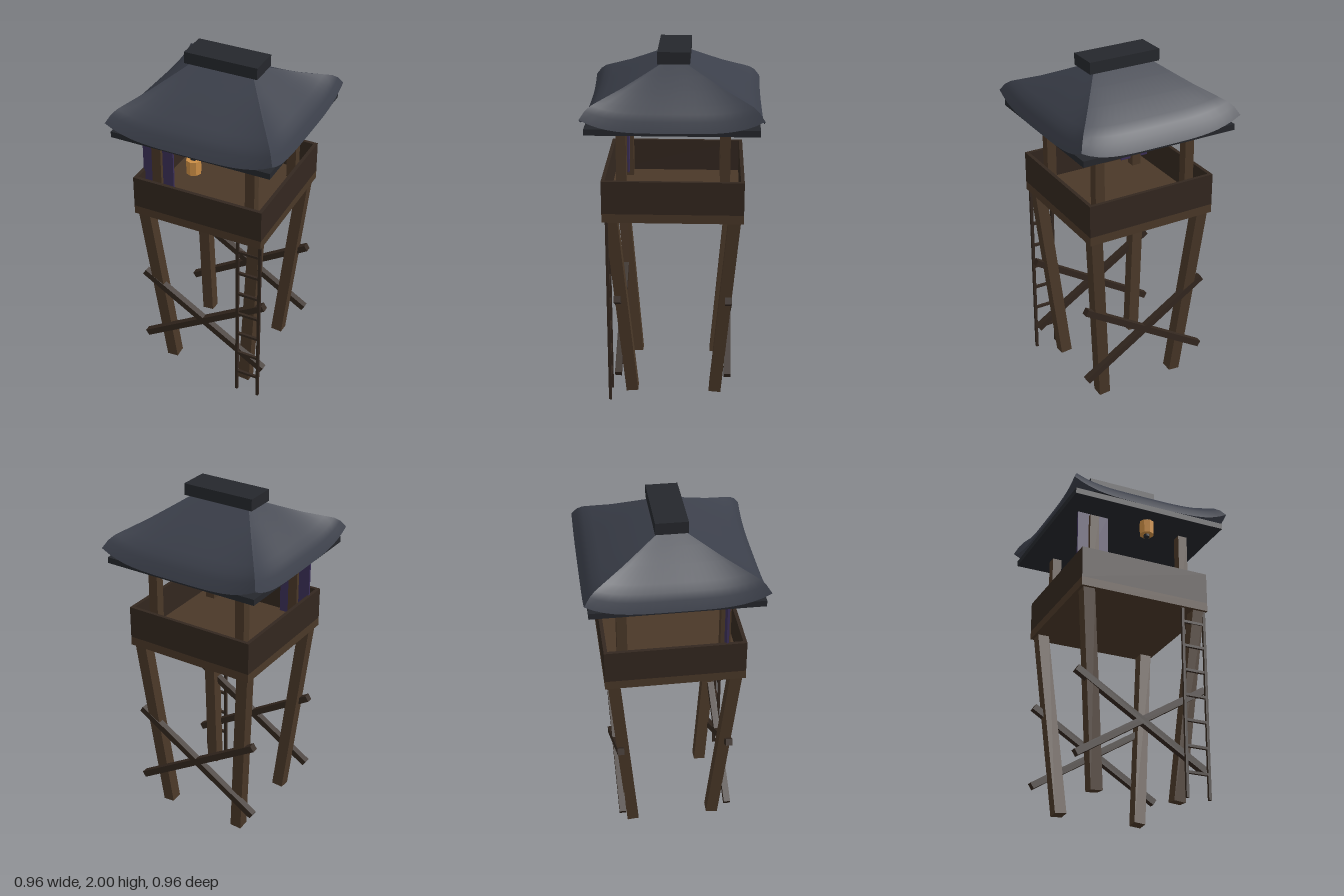
import * as THREE from 'three';

const mat = (color, extra = {}) => new THREE.MeshStandardMaterial({ color, ...extra });

export function createModel() {
  const model = new THREE.Group();
  const wood = mat(0x4a3828), darkWood = mat(0x33271f), slate = mat(0x25272c);
  const tiles = mat(0x3b3f4a, { side: THREE.DoubleSide });
  const cloth = mat(0x3b2f58), paper = mat(0xcc8e45, { flatShading: true });

  const add = (name, geometry, material, x = 0, y = 0, z = 0, parent = model) => {
    const mesh = new THREE.Mesh(geometry, material);
    mesh.name = name;
    mesh.position.set(x, y, z);
    parent.add(mesh);
    return mesh;
  };
  const box = (name, w, h, d, material, x, y, z, parent) =>
    add(name, new THREE.BoxGeometry(w, h, d), material, x, y, z, parent);

  // square beam running between two points
  const beam = (name, a, b, w, material) => {
    const from = new THREE.Vector3(...a), to = new THREE.Vector3(...b);
    const dir = to.clone().sub(from), mid = from.add(to).multiplyScalar(0.5);
    const mesh = box(name, w, dir.length(), w, material, mid.x, mid.y, mid.z);
    mesh.quaternion.setFromUnitVectors(new THREE.Vector3(0, 1, 0), dir.normalize());
  };

  // splayed legs and upright roof posts
  for (const sx of [-1, 1]) for (const sz of [-1, 1]) {
    beam('leg', [sx * 0.24, 0.005, sz * 0.24], [sx * 0.336, 1.11, sz * 0.336], 0.068, wood);
    box('roofPost', 0.055, 0.46, 0.055, wood, sx * 0.28, 1.37, sz * 0.28);
  }

  // crossed braces, front and back
  for (const sz of [-1, 1]) for (const s of [-1, 1])
    beam('crossBrace', [-s * 0.38, 0.17, sz * 0.31], [s * 0.38, 0.64, sz * 0.31], 0.038, darkWood);

  // platform and parapet
  box('platform', 0.77, 0.05, 0.77, wood, 0, 1.125, 0);
  for (const s of [-1, 1]) {
    box('parapet', 0.77, 0.185, 0.02, darkWood, 0, 1.2425, s * 0.375);
    box('parapet', 0.02, 0.185, 0.73, darkWood, s * 0.375, 1.2425, 0);
  }

  // ladder
  const ladder = new THREE.Group();
  ladder.name = 'ladder';
  model.add(ladder);
  for (const x of [0.238, 0.371]) box('ladderRail', 0.016, 1.1, 0.016, darkWood, x, 0.55, 0.36, ladder);
  for (let i = 0; i < 7; i++)
    box('ladderRung', 0.133, 0.015, 0.015, darkWood, 0.3045, 0.14 + i * 0.1465, 0.36, ladder);

  // curtain around the front corner post
  box('curtain', 0.185, 0.43, 0.012, cloth, -0.281, 1.405, 0.28);

  // hanging lantern
  const lantern = new THREE.Group();
  lantern.name = 'lantern';
  lantern.position.set(0, 1.533, 0.4);
  model.add(lantern);
  add('lanternBody', new THREE.CylinderGeometry(0.041, 0.041, 0.08, 8), paper, 0, 0, 0, lantern);
  for (const s of [-1, 1])
    add('lanternCap', new THREE.CylinderGeometry(0.018, 0.018, 0.014, 8), slate, 0, s * 0.047, 0, lantern);

  // roof: four swept faces whose eaves rise towards the corners
  box('eavePlate', 0.92, 0.034, 0.92, slate, 0, 1.632, 0);
  const profile = [[0, 1.94], [0.25, 1.885], [0.5, 1.825], [0.75, 1.76], [0.86, 1.725], [0.93, 1.69], [1, 1.635]];
  const roofFace = (turn) => {
    const geometry = new THREE.PlaneGeometry(1, 1, 20, profile.length - 1);
    const p = geometry.attributes.position;
    for (let i = 0; i < p.count; i++) {
      const t = p.getX(i) * 2;
      const [s, y] = profile[Math.floor(i / 21)];
      const halfX = 0.17 + 0.31 * s, halfZ = 0.05 + 0.43 * s;
      const across = turn % 2 ? halfZ : halfX, out = turn % 2 ? halfX : halfZ;
      p.setXYZ(i, t * across, y + 0.07 * s ** 3 * t ** 4, out);
    }
    geometry.rotateY(turn * Math.PI / 2);
    geometry.computeVertexNormals();
    return geometry;
  };
  for (let turn = 0; turn < 4; turn++) add('roofFace', roofFace(turn), tiles);
  box('ridgeCap', 0.424, 0.066, 0.174, slate, 0, 1.967, 0);

  return model;
}
